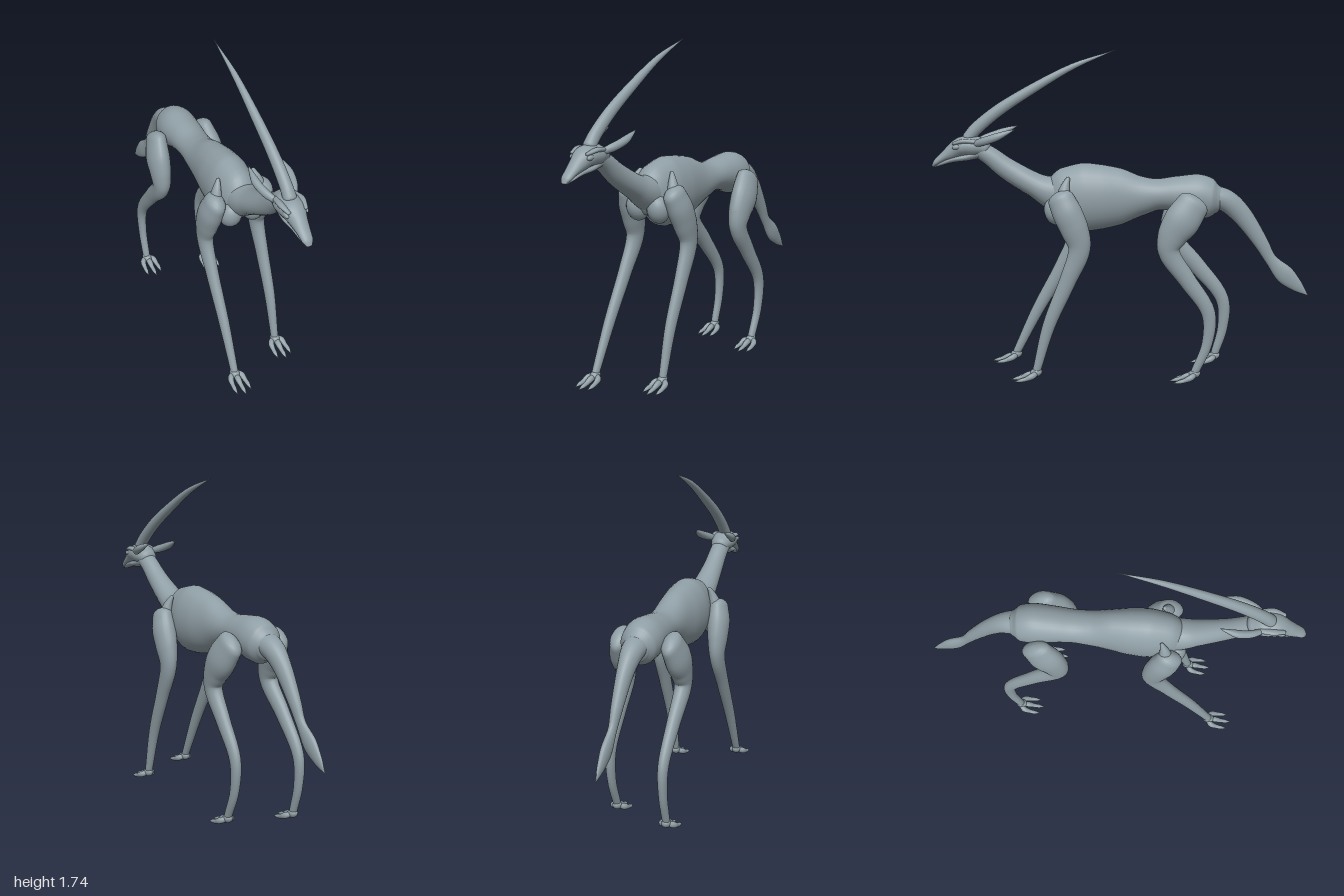
import * as THREE from 'three';

const hide = new THREE.MeshStandardMaterial({ color: 0x8f9ea5 });
hide.name = 'slate grey hide';

// Smooth tube through stations [x, y, z, halfWidth, halfHeight], with domed ends
function loft(name, stations, { sides = 24, steps = 6, dome = 0.7 } = {}) {
  const path = new THREE.CatmullRomCurve3(stations.map(s => new THREE.Vector3(s[0], s[1], s[2])));
  const size = new THREE.CatmullRomCurve3(stations.map(s => new THREE.Vector3(s[3], s[4], 0)));
  const rings = [];
  const addRing = (t, scale, push) => {
    const T = path.getTangent(t), r = size.getPoint(t);
    const side = new THREE.Vector3(1, 0, 0).addScaledVector(T, -T.x).normalize();
    const n = new THREE.Vector3().crossVectors(T, side);
    const c = path.getPoint(t).addScaledVector(T, push * dome * Math.min(r.x, r.y));
    rings.push({ c, side, n, rx: Math.max(r.x, 0.0005) * scale, ry: Math.max(r.y, 0.0005) * scale });
  };
  const domeAngles = [80, 60, 40, 20].map(THREE.MathUtils.degToRad);
  domeAngles.forEach(a => addRing(0, Math.cos(a), -Math.sin(a)));
  const count = (stations.length - 1) * steps;
  for (let i = 0; i <= count; i++) addRing(i / count, 1, 0);
  domeAngles.reverse().forEach(a => addRing(1, Math.cos(a), Math.sin(a)));

  const pos = [], index = [];
  for (const { c, side, n, rx, ry } of rings) {
    for (let j = 0; j < sides; j++) {
      const a = (j / sides) * Math.PI * 2;
      const p = c.clone().addScaledVector(side, Math.cos(a) * rx).addScaledVector(n, Math.sin(a) * ry);
      pos.push(p.x, p.y, p.z);
    }
  }
  for (let i = 0; i < rings.length - 1; i++) {
    for (let j = 0; j < sides; j++) {
      const k = (j + 1) % sides, a = i * sides + j, b = i * sides + k;
      index.push(a, b, b + sides, a, b + sides, a + sides);
    }
  }
  // Close both ends with a fan
  const last = (rings.length - 1) * sides, pole = rings.length * sides;
  const first = rings[0].c, end = rings[rings.length - 1].c;
  pos.push(first.x, first.y, first.z, end.x, end.y, end.z);
  for (let j = 0; j < sides; j++) {
    const k = (j + 1) % sides;
    index.push(pole, k, j, pole + 1, last + j, last + k);
  }
  const geo = new THREE.BufferGeometry();
  geo.setAttribute('position', new THREE.Float32BufferAttribute(pos, 3));
  geo.setIndex(index);
  geo.computeVertexNormals();
  const mesh = new THREE.Mesh(geo, hide);
  mesh.name = name;
  return mesh;
}

function ellipsoid(name, p, r, tilt = 0) {
  const mesh = new THREE.Mesh(new THREE.SphereGeometry(1, 20, 14), hide);
  mesh.position.set(...p);
  mesh.scale.set(...r);
  mesh.rotation.x = tilt;
  mesh.name = name;
  return mesh;
}

// Three clawed toes spreading forward from the ankle
function foot(x, z) {
  const g = new THREE.Group();
  g.name = 'foot';
  g.add(ellipsoid('ankle', [x, 0.045, z + 0.005], [0.025, 0.024, 0.034], 0.3));
  for (const s of [-1, 0, 1]) {
    const reach = s === 0 ? 0 : -0.022;
    g.add(loft('toe', [
      [x + s * 0.014, 0.042, z + 0.005, 0.013, 0.014],
      [x + s * 0.032, 0.033, z + 0.045 + reach, 0.016, 0.017],
      [x + s * 0.038, 0.018, z + 0.08 + reach, 0.012, 0.012],
      [x + s * 0.04, 0.012, z + 0.105 + reach, 0.011, 0.01],
      [x + s * 0.04, 0.003, z + 0.14 + reach, 0.001, 0.001],
    ], { sides: 12, steps: 4 }));
  }
  return g;
}

// Leg path given as [y, z, halfWidth, halfDepth, x]
function leg(name, side, path) {
  const g = new THREE.Group();
  g.name = name;
  g.add(loft('limb', path.map(([y, z, rx, rz, x]) => [side * x, y, z, rx, rz]), { dome: 0.9 }));
  const end = path[path.length - 1];
  g.add(foot(side * 0.162, end[1]));
  return g;
}

export function createModel() {
  const model = new THREE.Group();
  model.name = 'horned animal';

  // Trunk
  model.add(loft('body', [
    [0, 0.945, 0.37, 0.075, 0.085],
    [0, 0.965, 0.3, 0.105, 0.155],
    [0, 0.965, 0.2, 0.12, 0.183],
    [0, 0.967, 0.1, 0.115, 0.172],
    [0, 0.97, 0, 0.1, 0.15],
    [0, 0.973, -0.1, 0.092, 0.108],
    [0, 0.982, -0.2, 0.09, 0.083],
    [0, 0.985, -0.3, 0.097, 0.095],
    [0, 0.975, -0.4, 0.104, 0.115],
    [0, 0.96, -0.47, 0.096, 0.105],
    [0, 0.955, -0.505, 0.07, 0.075],
  ], { sides: 32, dome: 0.4 }));

  // Neck
  model.add(loft('neck', [
    [0, 0.97, 0.28, 0.09, 0.12],
    [0, 0.99, 0.37, 0.084, 0.09],
    [0, 1.025, 0.45, 0.072, 0.066],
    [0, 1.115, 0.605, 0.055, 0.057],
    [0, 1.18, 0.69, 0.05, 0.05],
    [0, 1.225, 0.76, 0.05, 0.045],
  ]));

  // Head, with a slightly hooked snout and a separate jaw
  model.add(loft('head', [
    [0, 1.225, 0.72, 0.05, 0.042],
    [0, 1.236, 0.78, 0.068, 0.054],
    [0, 1.232, 0.84, 0.064, 0.052],
    [0, 1.205, 0.89, 0.046, 0.042],
    [0, 1.175, 0.94, 0.035, 0.025],
    [0, 1.146, 0.98, 0.028, 0.017],
    [0, 1.13, 0.995, 0.016, 0.009],
  ]));
  model.add(loft('jaw', [
    [0, 1.2, 0.75, 0.045, 0.03],
    [0, 1.178, 0.82, 0.046, 0.022],
    [0, 1.165, 0.89, 0.036, 0.018],
    [0, 1.143, 0.95, 0.027, 0.012],
    [0, 1.126, 0.985, 0.014, 0.006],
  ]));

  // Single swept-back horn
  model.add(loft('horn', [
    [0, 1.28, 0.805, 0.034, 0.032],
    [0, 1.325, 0.765, 0.031, 0.034],
    [0, 1.42, 0.65, 0.028, 0.032],
    [0, 1.54, 0.46, 0.023, 0.026],
    [0, 1.655, 0.25, 0.015, 0.016],
    [0, 1.738, 0.035, 0.001, 0.001],
  ]));

  // Tail with a tufted tip
  model.add(loft('tail', [
    [0, 0.975, -0.47, 0.07, 0.06],
    [0, 0.95, -0.55, 0.058, 0.06],
    [0, 0.88, -0.63, 0.043, 0.054],
    [0, 0.725, -0.74, 0.029, 0.039],
    [0, 0.635, -0.793, 0.021, 0.032],
    [0, 0.55, -0.87, 0.024, 0.05],
    [0, 0.485, -0.94, 0.015, 0.032],
    [0, 0.435, -0.998, 0.001, 0.001],
  ]));

  for (const s of [1, -1]) {
    // Ears, brows and eyes
    model.add(loft('ear', [
      [s * 0.045, 1.25, 0.775, 0.012, 0.014],
      [s * 0.075, 1.27, 0.715, 0.02, 0.022],
      [s * 0.09, 1.293, 0.65, 0.021, 0.021],
      [s * 0.088, 1.318, 0.59, 0.011, 0.011],
      [s * 0.083, 1.333, 0.552, 0.001, 0.001],
    ], { sides: 16 }));
    model.add(loft('brow', [
      [s * 0.05, 1.262, 0.76, 0.016, 0.012],
      [s * 0.056, 1.268, 0.82, 0.017, 0.012],
      [s * 0.046, 1.254, 0.88, 0.01, 0.008],
    ], { sides: 14 }));
    model.add(ellipsoid('eye', [s * 0.053, 1.236, 0.862], [0.012, 0.013, 0.024], 0.15));
    // Shoulder blade knob
    model.add(loft('shoulderBlade', [
      [s * 0.13, 0.98, 0.3, 0.035, 0.04],
      [s * 0.115, 1.04, 0.29, 0.022, 0.024],
      [s * 0.1, 1.082, 0.275, 0.01, 0.01],
    ], { sides: 16 }));
    // Chest muscle in front of the shoulder
    model.add(ellipsoid('chestMuscle', [s * 0.065, 0.9, 0.345], [0.06, 0.075, 0.06], 0.3));
  }

  // Front legs, the right one stepping ahead
  model.add(leg('leftFrontLeg', 1, [
    [0.975, 0.31, 0.05, 0.07, 0.14],
    [0.9, 0.275, 0.06, 0.078, 0.15],
    [0.82, 0.24, 0.054, 0.074, 0.156],
    [0.72, 0.215, 0.04, 0.058, 0.16],
    [0.545, 0.278, 0.032, 0.044, 0.162],
    [0.305, 0.378, 0.027, 0.034, 0.162],
    [0.06, 0.445, 0.02, 0.022, 0.162],
  ]));
  model.add(leg('rightFrontLeg', -1, [
    [0.975, 0.32, 0.05, 0.07, 0.14],
    [0.9, 0.29, 0.06, 0.078, 0.15],
    [0.82, 0.262, 0.054, 0.074, 0.156],
    [0.72, 0.245, 0.04, 0.058, 0.16],
    [0.545, 0.33, 0.032, 0.042, 0.162],
    [0.305, 0.465, 0.027, 0.033, 0.162],
    [0.06, 0.585, 0.02, 0.022, 0.162],
  ]));

  // Back legs, the left one stepping ahead
  model.add(leg('leftBackLeg', 1, [
    [0.955, -0.375, 0.05, 0.085, 0.14],
    [0.87, -0.318, 0.06, 0.095, 0.155],
    [0.79, -0.268, 0.054, 0.078, 0.16],
    [0.71, -0.25, 0.044, 0.057, 0.162],
    [0.56, -0.345, 0.034, 0.046, 0.163],
    [0.38, -0.46, 0.027, 0.037, 0.163],
    [0.21, -0.455, 0.022, 0.028, 0.163],
    [0.06, -0.395, 0.02, 0.022, 0.163],
  ]));
  model.add(leg('rightBackLeg', -1, [
    [0.955, -0.375, 0.05, 0.085, 0.14],
    [0.87, -0.325, 0.06, 0.095, 0.155],
    [0.79, -0.285, 0.054, 0.078, 0.16],
    [0.71, -0.275, 0.044, 0.057, 0.162],
    [0.56, -0.405, 0.034, 0.046, 0.163],
    [0.37, -0.548, 0.027, 0.036, 0.163],
    [0.21, -0.553, 0.022, 0.028, 0.163],
    [0.06, -0.512, 0.02, 0.022, 0.163],
  ]));

  return model;
}
